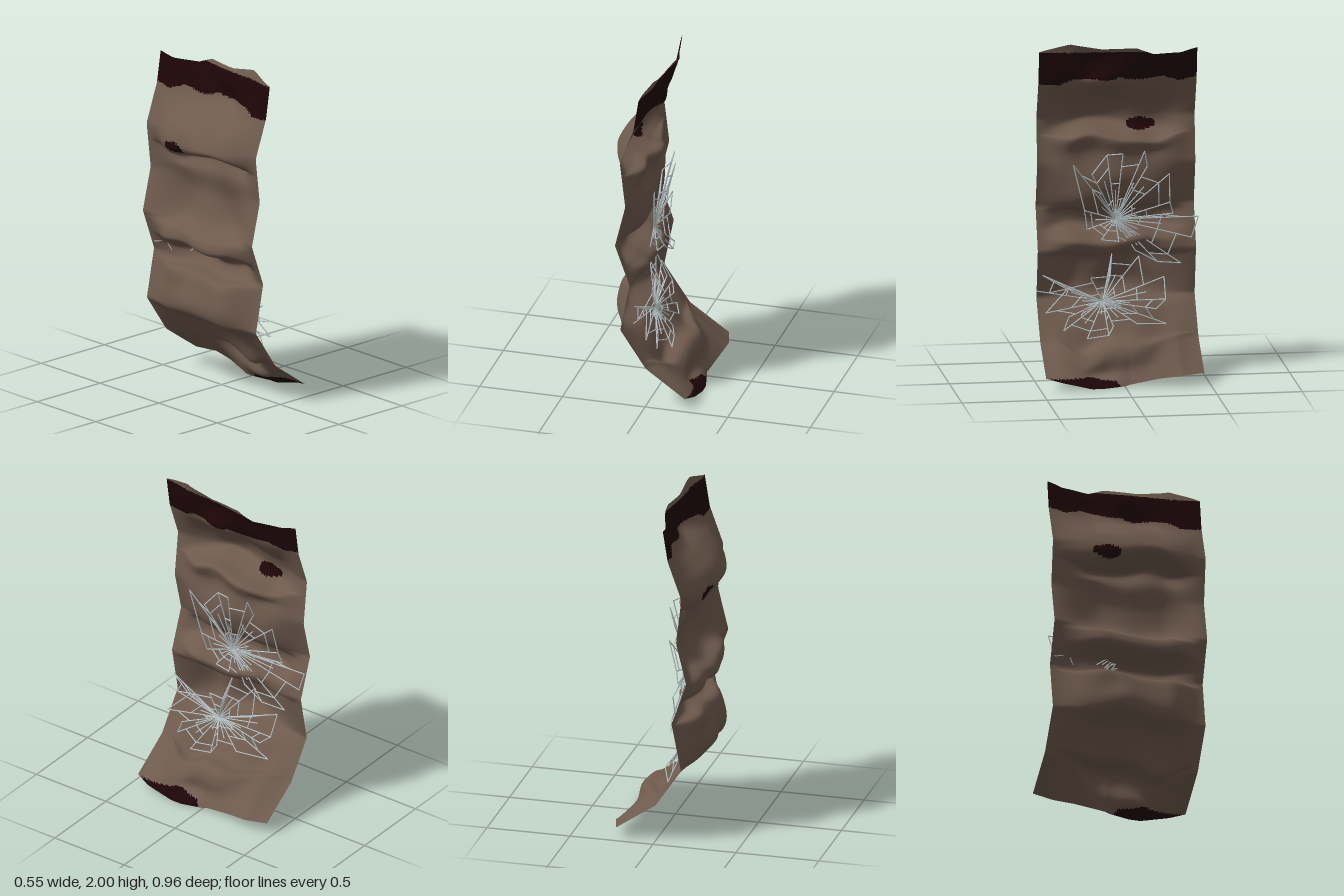
import * as THREE from 'three';
import { mergeGeometries } from 'three/addons/utils/BufferGeometryUtils.js';

const mat = (name, color) => {
  const m = new THREE.MeshStandardMaterial({ color, side: THREE.DoubleSide });
  m.name = name;
  return m;
};

// piecewise-linear lookup through [key, value] pairs
const lookup = (pts, k) => {
  for (let i = 1; i < pts.length; i++) {
    const [k0, v0] = pts[i - 1], [k1, v1] = pts[i];
    if (k <= k1) return v0 + (v1 - v0) * Math.max(0, (k - k0) / (k1 - k0));
  }
  return pts[pts.length - 1][1];
};

// profile of the two straight sides, [y, x] from foot to top
const EDGE = [[0.065, 0.23], [0.23, -0.006], [0.46, -0.16], [0.75, -0.103], [1.0, -0.192],
  [1.255, -0.13], [1.53, -0.162], [1.76, -0.08], [1.95, -0.05]];

// profile through the middle with ledges and hollows, [x, y]
const MIDDLE = [[0.23, 0.065], [0.2, 0.13], [0.17, 0.195], [0.125, 0.25], [0.03, 0.265], [-0.03, 0.33],
  [-0.11, 0.41], [-0.23, 0.47], [-0.255, 0.53], [-0.24, 0.62], [-0.2, 0.705], [-0.09, 0.735],
  [-0.045, 0.8], [-0.12, 0.845], [-0.23, 0.89], [-0.22, 0.95], [-0.13, 1.0], [-0.09, 1.06],
  [-0.075, 1.18], [-0.095, 1.32], [-0.06, 1.415], [-0.16, 1.44], [-0.255, 1.49], [-0.225, 1.58],
  [-0.14, 1.67], [-0.07, 1.74], [-0.03, 1.82], [-0.015, 1.91], [0.005, 1.95]];

// local lumps and dents: [y, z, shift x, shift y, radius y, radius z]
const LUMPS = [[0.23, 0.24, -0.02, -0.06, 0.08, 0.12], [0.14, 0.12, -0.06, -0.03, 0.05, 0.12],
  [0.23, -0.1, 0.02, 0.0, 0.06, 0.1], [1.42, -0.28, -0.01, -0.07, 0.09, 0.12],
  [1.43, 0.15, -0.02, 0.01, 0.08, 0.1], [1.9, -0.12, 0.016, 0, 0.1, 0.12],
  [1.68, -0.28, -0.02, -0.03, 0.08, 0.12], [1.2, -0.1, 0.02, 0, 0.12, 0.12],
  [0.6, -0.15, 0.03, 0, 0.1, 0.1], [1.76, 0.08, 0.045, 0, 0.06, 0.13], [0.8, -0.24, -0.04, 0, 0.07, 0.12]];

// ragged top and foot lines along z
const TOP_Y = [[-0.465, 0], [-0.37, -0.025], [-0.2, -0.02], [-0.1, 0.02], [0.1, 0.015], [0.29, 0.05], [0.465, 0]];
const FOOT_Y = [[-0.465, 0.005], [-0.33, 0], [-0.2, -0.015], [0, -0.06], [0.2, -0.062], [0.465, 0]];
const FOOT_X = [[-0.465, 0], [-0.33, 0.04], [-0.2, 0.025], [-0.03, -0.005], [0.13, 0.04], [0.37, 0.035], [0.465, 0]];

// borders of the stained areas along z
const STAIN_TOP = [[-0.465, 1.775], [-0.36, 1.75], [-0.27, 1.785], [-0.1, 1.77], [0, 1.79], [0.08, 1.775],
  [0.14, 1.785], [0.27, 1.775], [0.34, 1.745], [0.465, 1.75]];
const STAIN_FOOT = [[0.02, 0], [0.05, 0.035], [0.13, 0.04], [0.2, 0.058], [0.36, 0.06], [0.465, 0.062]];

function rockGeometry() {
  const COLS = 62, ROWS = 190, HALF = 0.465;
  const { smoothstep, lerp, clamp } = THREE.MathUtils;
  const middle = new THREE.CatmullRomCurve3(MIDDLE.map(([x, y]) => new THREE.Vector3(x, y, 0)), false, 'centripetal');
  const pos = [];
  for (let j = 0; j <= ROWS; j++) {
    const t = j / ROWS, m = middle.getPoint(t);
    for (let i = 0; i <= COLS; i++) {
      const z = HALF - 2 * HALF * i / COLS;
      const w = smoothstep(HALF - Math.abs(z), 0, z > 0 ? 0.25 : 0.33);
      const body = w * smoothstep(t, 0, 0.08) * smoothstep(1 - t, 0, 0.08);
      const strength = w * (0.95 + 0.1 * Math.sin(z * 9 + m.y * 5));
      let x = lerp(lookup(EDGE, m.y), m.x, strength) + body * 0.01 * Math.sin(z * 17 + m.y * 11);
      let y = m.y + body * 0.013 * Math.sin(z * 13 + m.y * 4);
      for (const [ly, lz, dx, dy, ry, rz] of LUMPS) {
        const k = w * Math.exp(-(((m.y - ly) / ry) ** 2) - ((z - lz) / rz) ** 2);
        x += dx * k;
        y += dy * k;
      }
      const foot = clamp(1.2 - m.y / 0.3, 0, 1), top = Math.max(0, (m.y - 1.72) / 0.23);
      x += lookup(FOOT_X, z) * foot;
      y += lookup(FOOT_Y, z) * foot + lookup(TOP_Y, z) * top;
      pos.push(x, Math.max(0, y), z);
    }
  }
  // sort faces into plain rock and dark stained patches
  const plain = [], dark = [];
  const add = (...tri) => {
    const y = tri.reduce((s, k) => s + pos[k * 3 + 1] / 3, 0);
    const z = tri.reduce((s, k) => s + pos[k * 3 + 2] / 3, 0);
    const band = y > lookup(STAIN_TOP, z) && y < 1.946;
    const toe = z > 0.02 && y < lookup(STAIN_FOOT, z);
    const spot = ((z + 0.155) / 0.085) ** 2 + ((y - 1.467) / 0.035) ** 2 < 1;
    (band || toe || spot ? dark : plain).push(...tri);
  };
  for (let j = 0; j < ROWS; j++) for (let i = 0; i < COLS; i++) {
    const a = j * (COLS + 1) + i, b = a + 1, c = a + COLS + 1, d = c + 1;
    add(a, b, c);
    add(b, d, c);
  }
  const g = new THREE.BufferGeometry();
  g.setAttribute('position', new THREE.Float32BufferAttribute(pos, 3));
  g.setIndex([...plain, ...dark]);
  g.addGroup(0, plain.length, 0);
  g.addGroup(plain.length, dark.length, 1);
  g.computeVertexNormals();
  return g;
}

// thin straight thread between two points
function thread(a, b) {
  const dir = b.clone().sub(a);
  const g = new THREE.CylinderGeometry(0.0036, 0.0036, dir.length(), 5, 1, true);
  g.applyQuaternion(new THREE.Quaternion().setFromUnitVectors(new THREE.Vector3(0, 1, 0), dir.normalize()));
  return g.translate((a.x + b.x) / 2, (a.y + b.y) / 2, (a.z + b.z) / 2);
}

// spokes from a hub to rim points [z, y], joined by broken rings
function webGeometry(hub, rim, depth) {
  const ends = rim.map(([z, y], i) => new THREE.Vector3(depth(z, y) + 0.015 * Math.sin(i * 2.3), y, z));
  const parts = [];
  ends.forEach((end, i) => {
    const next = ends[(i + 1) % ends.length];
    parts.push(thread(hub, end));
    // short extra spoke between neighbours
    parts.push(thread(hub, hub.clone().lerp(end.clone().lerp(next, 0.5), 0.5 + 0.2 * Math.sin(i * 1.7))));
    [0.3, 0.55, 0.8, 1].forEach((f, k) => {
      if ((i * 3 + k * 2) % 5 < 2) return;
      parts.push(thread(hub.clone().lerp(end, f), hub.clone().lerp(next, f)));
    });
  });
  return mergeGeometries(parts);
}

export function createModel() {
  const rock = mat('brown rock', 0x6e5a4d);
  const stain = mat('dark maroon rock', 0x1e0507);
  const silk = mat('pale grey silk', 0xbecacd);
  const model = new THREE.Group();
  model.name = 'rockWallWithWebs';
  const part = (name, geometry, material) => {
    const mesh = new THREE.Mesh(geometry, material);
    mesh.name = name;
    model.add(mesh);
  };

  part('rockWall', rockGeometry(), [rock, stain]);

  part('upperWeb', webGeometry(new THREE.Vector3(-0.085, 0.93, 0.01),
    [[0.27, 1.28], [0.16, 1.22], [0.07, 1.33], [-0.02, 1.34], [-0.15, 1.35], [-0.17, 1.25], [-0.3, 1.2],
      [-0.31, 1.02], [-0.33, 0.95], [-0.48, 0.925], [-0.44, 0.8], [-0.37, 0.66], [-0.23, 0.68],
      [-0.1, 0.75], [0, 0.81], [0.1, 0.82], [0.18, 0.88], [0.2, 1.0]],
    (z, y) => -0.055 + Math.abs(y - 0.93) * 0.13 + 0.2 * Math.min(0, z + 0.1)), silk);

  part('lowerWeb', webGeometry(new THREE.Vector3(-0.055, 0.45, 0.09),
    [[0.48, 0.52], [0.44, 0.61], [0.3, 0.53], [0.43, 0.4], [0.3, 0.38], [0.33, 0.3], [0.2, 0.26],
      [0.07, 0.27], [0.04, 0.32], [-0.1, 0.33], [-0.28, 0.31], [-0.22, 0.4], [-0.28, 0.45],
      [-0.28, 0.57], [-0.15, 0.54], [-0.13, 0.7], [0.03, 0.72], [0.05, 0.6], [0.16, 0.59]],
    (z, y) => 0.06 - (y - 0.27) * 0.34 - 0.25 * Math.max(0, Math.abs(z - 0.13) - 0.15)), silk);

  return model;
}
